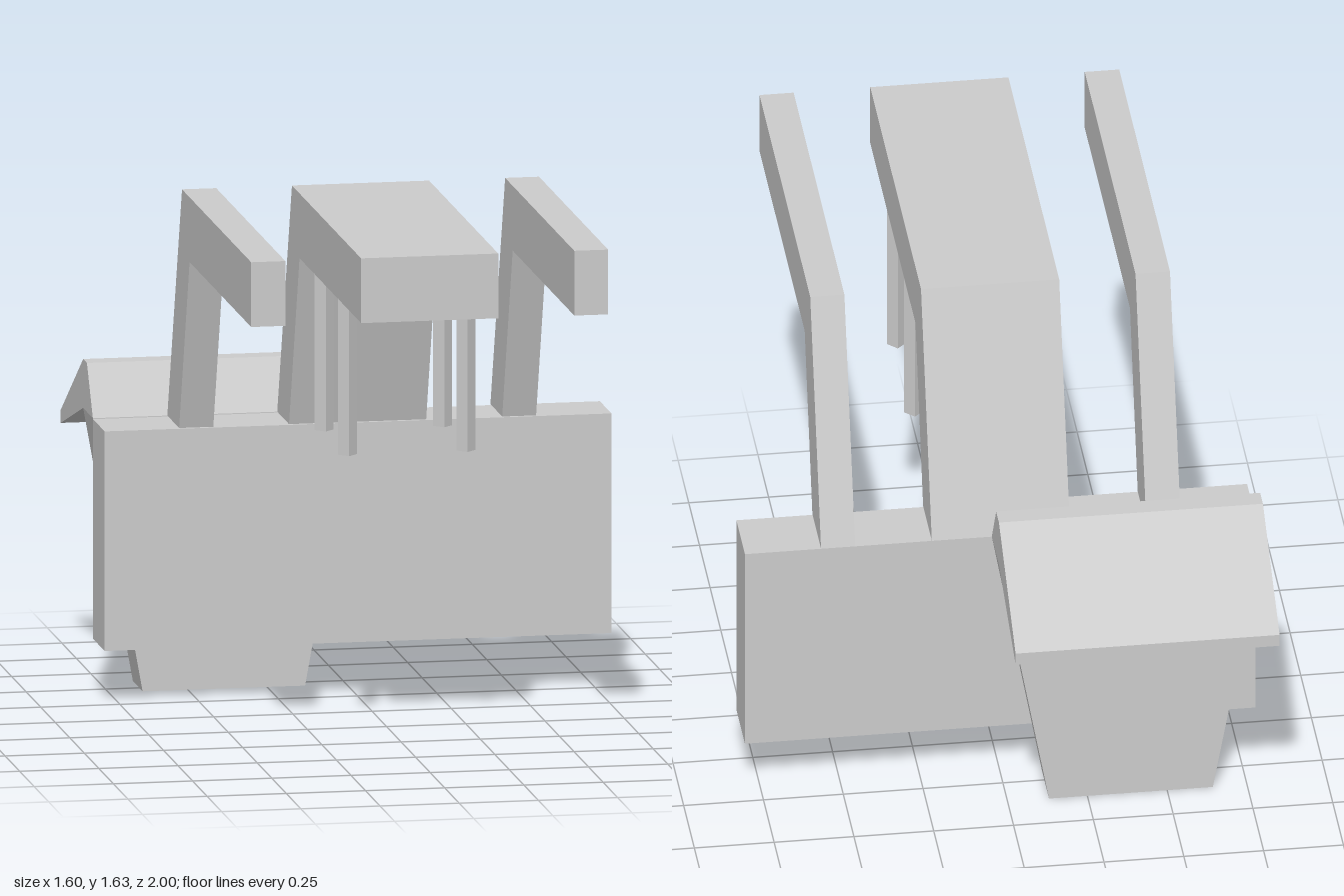
import * as THREE from 'three';

const material = new THREE.MeshStandardMaterial({ color: 0xcccccc, flatShading: true });

const shapeOf = (points) => new THREE.Shape(points.map(([a, b]) => new THREE.Vector2(a, b)));

// Side profile given as [z, y] points, extruded from x0 to x1
function sideExtrude(profile, x0, x1) {
  const shape = shapeOf(profile.map(([z, y]) => [-z, y]));
  const geometry = new THREE.ExtrudeGeometry(shape, { depth: x1 - x0, bevelEnabled: false });
  return geometry.rotateY(Math.PI / 2).translate(x0, 0, 0);
}

export function createModel() {
  const model = new THREE.Group();
  const add = (name, geometry) => {
    const mesh = new THREE.Mesh(geometry, material);
    mesh.name = name;
    model.add(mesh);
  };

  // Upright main plate
  add('mainPlate', new THREE.BoxGeometry(1.6, 0.695, 0.2).translate(0, 0.52, -0.34));

  // Bent arms: sloping up from the plate, then level towards the front
  const armProfile = [
    [1, 1.43], [1, 1.635], [-0.19, 1.635], [-0.443, 0.87], [-0.24, 0.87], [-0.06, 1.43],
  ];
  add('centreArm', sideExtrude(armProfile, -0.218, 0.215));
  add('rightArm', sideExtrude(armProfile, -0.565, -0.457));
  add('leftArm', sideExtrude(armProfile, 0.455, 0.562));

  // Four diamond-section pins hanging below the centre arm
  for (const x of [-0.189, 0.185]) {
    for (const z of [0.607, 0.205]) {
      add('pin', new THREE.CylinderGeometry(0.03, 0.03, 0.495, 4).translate(x, 1.185, z));
    }
  }

  // Tapered panel behind the plate
  const panel = shapeOf([[-0.643, 0], [-0.13, 0], [0.027, 0.87], [-0.8, 0.87]]);
  add('taperedPanel', new THREE.ExtrudeGeometry(panel, { depth: 0.167, bevelEnabled: false })
    .translate(0, 0, -0.61));

  // Ridged flap sloping away to the back
  add('rearFlap', sideExtrude([
    [-0.443, 0.87], [-0.545, 1.025], [-0.61, 1.025], [-1, 0.787], [-1, 0.747], [-0.61, 0.87],
  ], -0.8, 0.027));

  return model;
}
